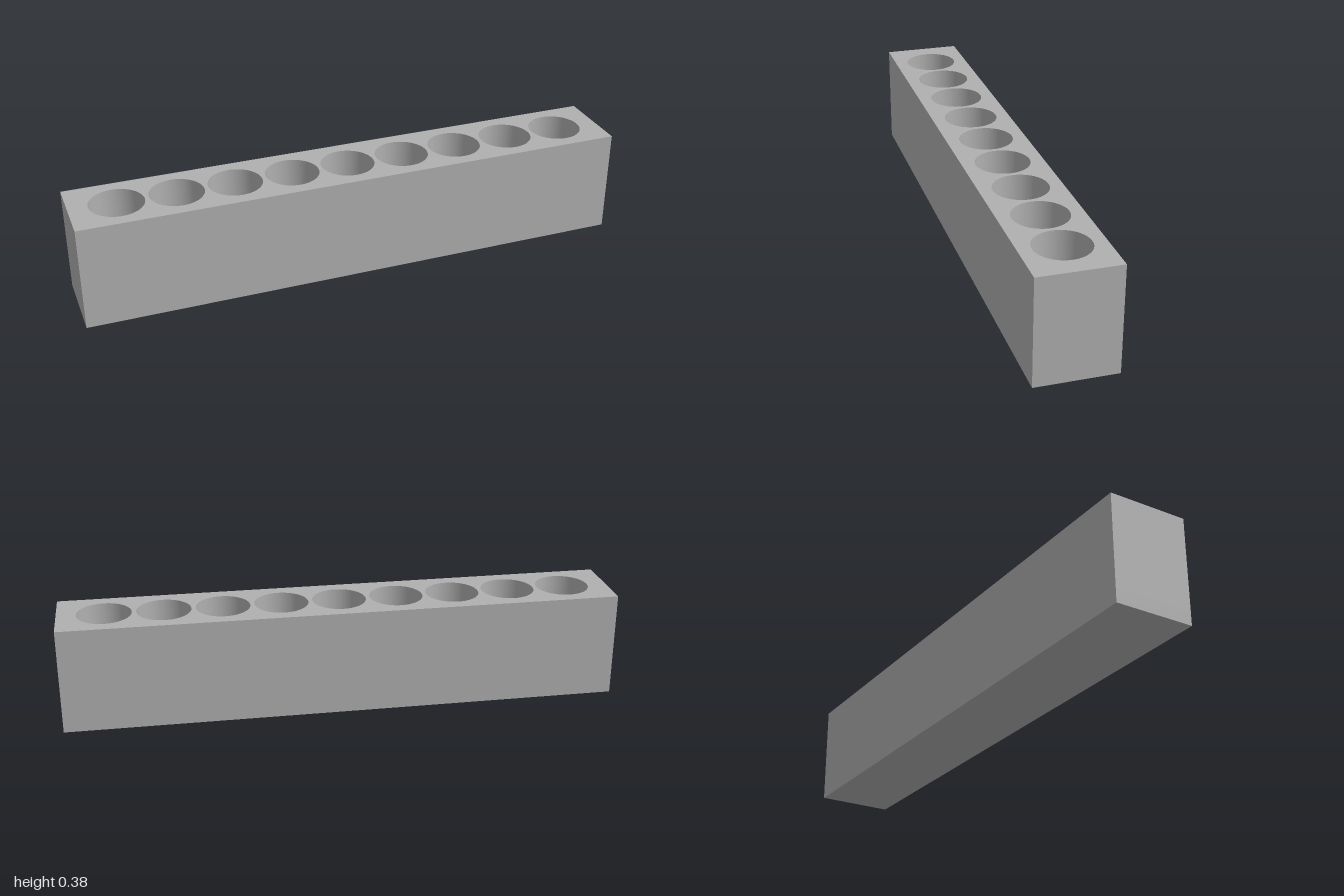
import * as THREE from 'three';

const LENGTH = 2, HEIGHT = 0.381, DEPTH = 0.286;
const FLOOR = 0.05;                                  // solid thickness below the holes
const HOLES = 9, HOLE_RADIUS = 0.0965, HOLE_STEP = 0.2085;

export function createModel() {
  const group = new THREE.Group();
  group.name = 'holderBlock';

  const grey = new THREE.MeshStandardMaterial({ color: 0xb0b0b0 });
  grey.name = 'grey';

  // rectangular outline pierced by a row of round holes
  const x = LENGTH / 2, z = DEPTH / 2;
  const outline = new THREE.Shape([
    new THREE.Vector2(-x, -z), new THREE.Vector2(x, -z),
    new THREE.Vector2(x, z), new THREE.Vector2(-x, z),
  ]);
  for (let i = 0; i < HOLES; i++) {
    const cx = (i - (HOLES - 1) / 2) * HOLE_STEP;
    outline.holes.push(new THREE.Path().absarc(cx, 0, HOLE_RADIUS, 0, Math.PI * 2, true));
  }

  // upper body, raised from the floor to the full height
  const bodyGeometry = new THREE.ExtrudeGeometry(outline, {
    depth: HEIGHT - FLOOR, bevelEnabled: false, curveSegments: 48,
  });
  bodyGeometry.rotateX(-Math.PI / 2).translate(0, FLOOR, 0);
  const body = new THREE.Mesh(bodyGeometry, grey);
  body.name = 'piercedBody';

  // solid floor closing the holes from below
  const floor = new THREE.Mesh(new THREE.BoxGeometry(LENGTH, FLOOR, DEPTH), grey);
  floor.position.y = FLOOR / 2;
  floor.name = 'floor';

  group.add(body, floor);
  return group;
}
